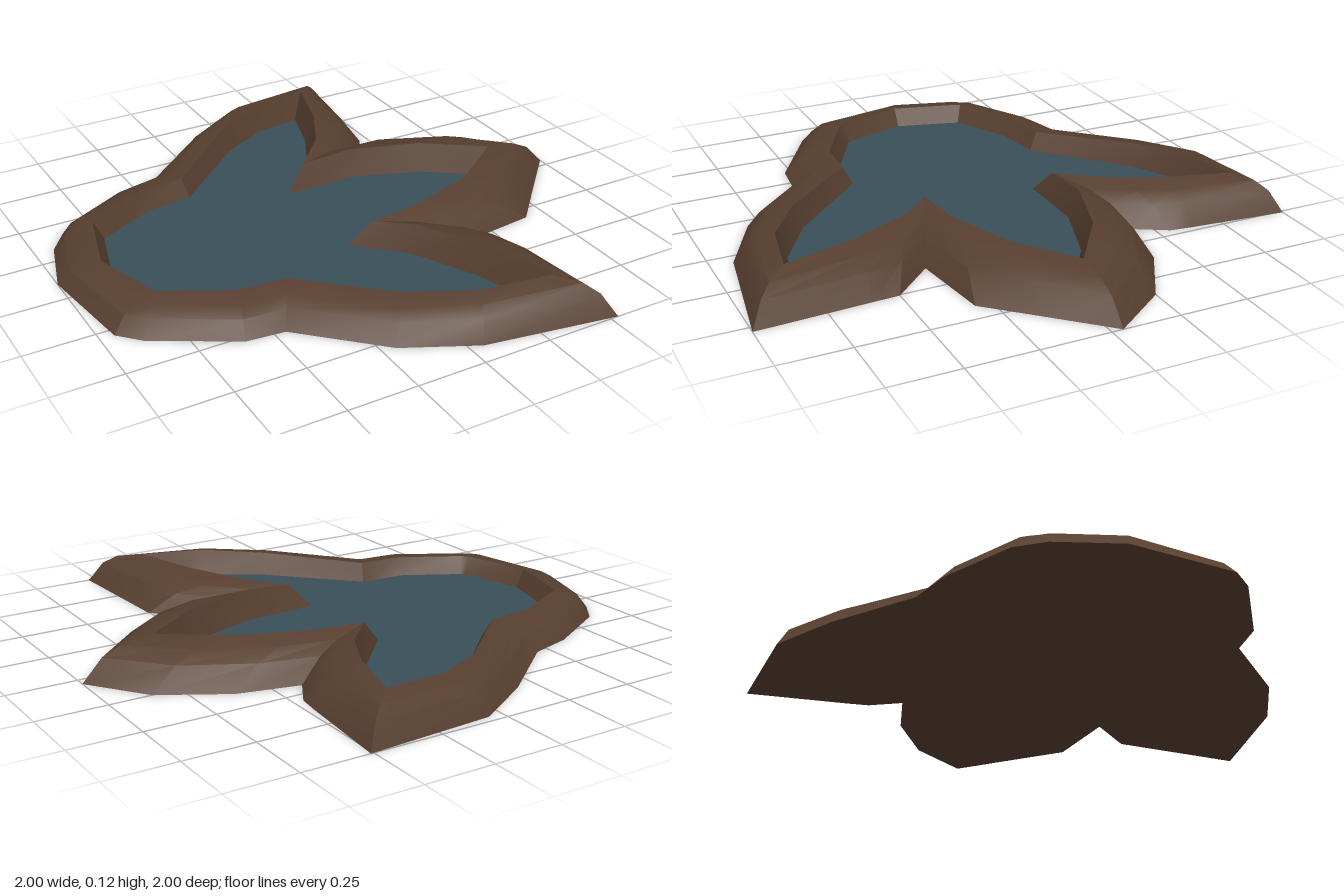
import * as THREE from 'three';
import { toCreasedNormals } from 'three/addons/utils/BufferGeometryUtils.js';

const WATER_Y = 0.02;
const WALL = 0.036; // width of the steep inner wall

// Each point pairs the foot of the bank with its crest: foot x, z, crest x, z
const MIDDLE_TOE_BACK = [[1.0, -0.04, 0.74, -0.04], [0.85, -0.25, 0.52, -0.2], [0.62, -0.385, 0.26, -0.29]];
const BACK_TOE = [
  [0.4, -0.435, 0.06, -0.29], [0.465, -0.55, 0.2, -0.44], [0.475, -0.63, 0.29, -0.62],
  [0.51, -1.0, 0.36, -0.86], [0.05, -0.97, 0.12, -0.83], [-0.18, -0.83, -0.08, -0.72],
];
const HEEL = [
  [-0.45, -0.61, -0.375, -0.45], [-0.61, -0.565, -0.555, -0.425], [-0.86, -0.425, -0.785, -0.305],
  [-0.93, -0.33, -0.8, -0.26], [-1.0, -0.1, -0.86, -0.04], [-0.95, 0.285, -0.785, 0.215],
  [-0.88, 0.36, -0.76, 0.24], [-0.6, 0.525, -0.54, 0.36], [-0.46, 0.54, -0.37, 0.37],
];
const FRONT_TOE = [
  [-0.2, 0.795, -0.09, 0.66], [0.05, 0.92, 0.12, 0.79], [0.53, 1.0, 0.37, 0.84],
  [0.51, 0.6, 0.29, 0.57], [0.505, 0.5, 0.17, 0.33], [0.365, 0.35, 0.06, 0.22],
];
const MIDDLE_TOE_FRONT = [[0.67, 0.31, 0.26, 0.21], [0.82, 0.15, 0.52, 0.12]];

const sections = [...MIDDLE_TOE_BACK, ...BACK_TOE, ...HEEL, ...FRONT_TOE, ...MIDDLE_TOE_FRONT];
const foot = sections.map(([x, z]) => new THREE.Vector2(x, z));
const crest = sections.map(([, , x, z]) => new THREE.Vector2(x, z));
const waterline = inset(crest, WALL);

// Rounded outer slope: fraction of the way to the crest, fraction of its height
const SLOPE = [[0, 0], [0.28, 0.62], [0.55, 0.88], [1, 1]];

// Mitred inward offset of a closed loop
function inset(loop, width) {
  const normals = loop.map((p, i) => {
    const d = loop[(i + 1) % loop.length].clone().sub(p).normalize();
    return new THREE.Vector2(d.y, -d.x);
  });
  return loop.map((p, i) => {
    const before = normals.at(i - 1), after = normals[i];
    const mitre = before.clone().add(after).multiplyScalar(width / (1 + before.dot(after)));
    return mitre.add(p);
  });
}

// The bank rises from the heel towards the toes
const crestHeight = (x) => 0.085 + 0.04 * THREE.MathUtils.smoothstep(x, -0.45, 0.4);

function bankGeometry() {
  const n = sections.length, rings = SLOPE.length + 1;
  const positions = [], index = [];
  for (let i = 0; i < n; i++) {
    const h = crestHeight(crest[i].x);
    for (const [t, k] of SLOPE) {
      const p = foot[i].clone().lerp(crest[i], t);
      positions.push(p.x, h * k, p.y);
    }
    positions.push(waterline[i].x, WATER_Y, waterline[i].y);
    for (let r = 0; r < rings - 1; r++) {
      const a = i * rings + r, b = ((i + 1) % n) * rings + r;
      index.push(a, b, b + 1, a, b + 1, a + 1);
    }
  }
  const geometry = new THREE.BufferGeometry();
  geometry.setAttribute('position', new THREE.Float32BufferAttribute(positions, 3));
  geometry.setIndex(index);
  return toCreasedNormals(geometry, 0.45);
}

// Flat sheet filling a loop, facing up (1) or down (-1)
function sheetGeometry(loop, facing) {
  const outline = loop.map((p) => new THREE.Vector2(p.x, -facing * p.y));
  return new THREE.ShapeGeometry(new THREE.Shape(outline)).rotateX(-facing * Math.PI / 2);
}

export function createModel() {
  const mud = new THREE.MeshStandardMaterial({ color: 0x573f2f });
  mud.name = 'brown mud';
  const blue = new THREE.MeshStandardMaterial({ color: 0x3a4f5a });
  blue.name = 'murky blue water';

  const group = new THREE.Group();
  group.name = 'footprintPuddle';
  const add = (name, geometry, material, y = 0) => {
    const mesh = new THREE.Mesh(geometry, material);
    mesh.name = name;
    mesh.position.y = y;
    group.add(mesh);
  };

  add('mudBank', bankGeometry(), mud);
  add('underside', sheetGeometry(foot, -1), mud);
  add('water', sheetGeometry(waterline, 1), blue, WATER_Y);
  return group;
}
